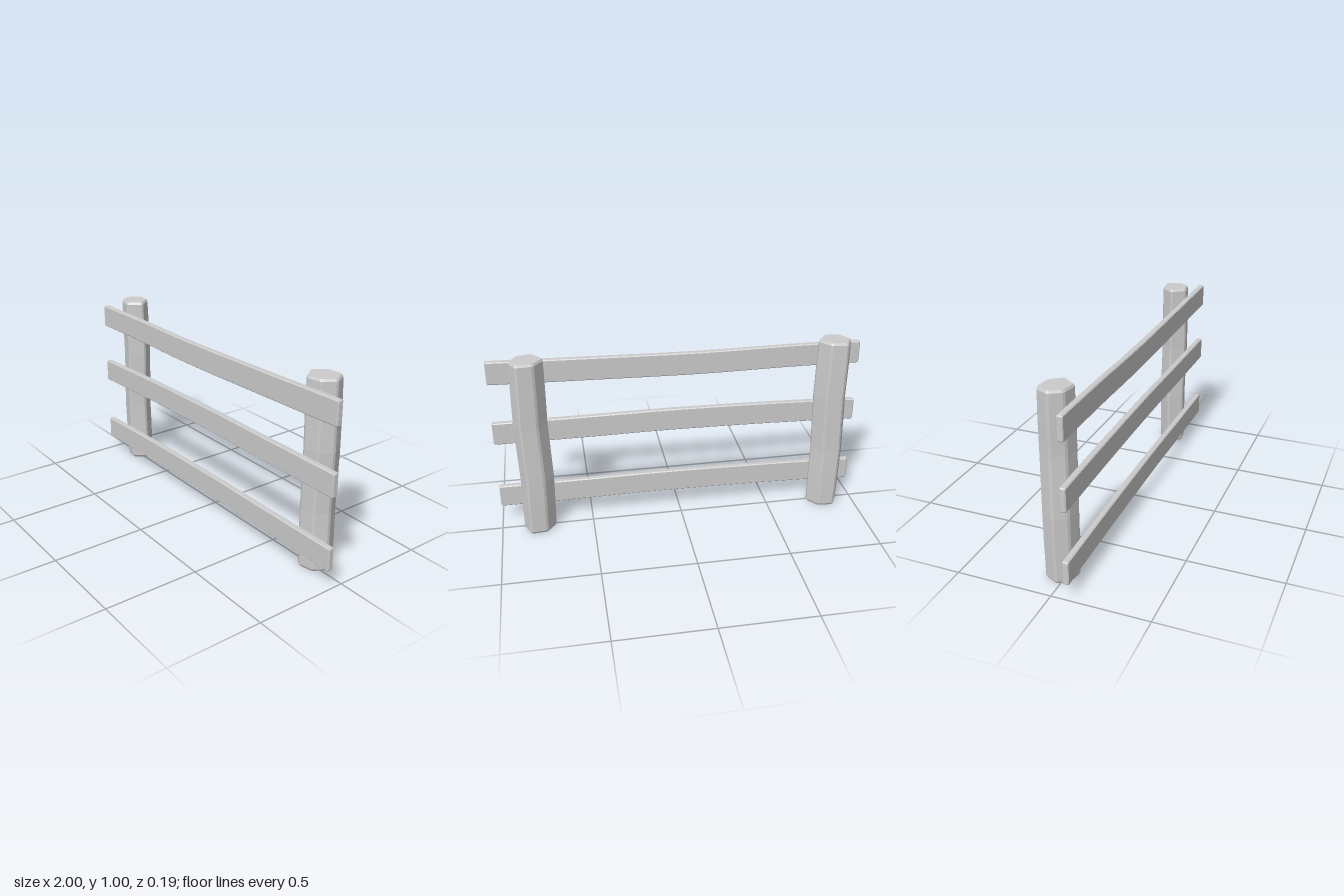
import * as THREE from 'three';

const material = new THREE.MeshStandardMaterial({ color: 0xcccccc, flatShading: true });

// Skin a list of rings (each counter-clockwise seen from the far end) and cap both ends.
function loft(rings) {
  const n = rings[0].length;
  const index = [];
  for (let i = 0; i < rings.length - 1; i++) {
    for (let j = 0; j < n; j++) {
      const a = i * n + j, b = i * n + (j + 1) % n;
      index.push(a, b, b + n, a, b + n, a + n);
    }
  }
  const last = (rings.length - 1) * n;
  for (let k = 1; k < n - 1; k++) {
    index.push(0, k + 1, k);
    index.push(last, last + k, last + k + 1);
  }
  const geometry = new THREE.BufferGeometry().setFromPoints(rings.flat());
  geometry.setIndex(index);
  const flat = geometry.toNonIndexed();
  flat.computeVertexNormals();
  return flat;
}

// Cut every corner of a closed 2D outline.
function chamfer(points, size) {
  return points.flatMap((p, i) => {
    const prev = points[(i + points.length - 1) % points.length];
    const next = points[(i + 1) % points.length];
    const towards = (q) => p.clone().add(q.clone().sub(p).setLength(size));
    return [towards(prev), towards(next)];
  });
}

// Irregular six-sided post, gently bent, with bevelled ends
function postGeometry() {
  const corners = [[-0.73, -0.015], [-0.785, -0.086], [-0.877, -0.094],
    [-0.915, -0.02], [-0.872, 0.046], [-0.788, 0.062]];
  const outline = chamfer(corners.map(([x, z]) => new THREE.Vector2(x, z)), 0.008);
  const cx = -0.825, cz = -0.017;
  // height, scale, bend in x, bend in z
  const levels = [
    [0, 0.88, 0.002, 0], [0.012, 0.97, 0.002, 0], [0.2, 1, -0.001, 0.001],
    [0.36, 1, -0.004, 0.002], [0.52, 1, 0.001, 0], [0.68, 1, 0.006, -0.002],
    [0.84, 1, 0.003, -0.001], [0.988, 0.97, 0.001, 0], [1, 0.88, 0.001, 0],
  ];
  return loft(levels.map(([y, s, dx, dz]) => outline.map((p) =>
    new THREE.Vector3(cx + (p.x - cx) * s + dx, y, cz + (p.y - cz) * s + dz))));
}

// Plank along x whose centre height follows a smooth curve
function railGeometry(heights) {
  const curve = new THREE.SplineCurve(heights.map(([x, y]) => new THREE.Vector2(x, y)));
  const halfH = 0.0625, halfD = 0.0165, zMid = 0.0795, bevel = 0.005;
  const section = (x, y, inset) => {
    const h = halfH - inset, d = halfD - inset;
    const box = [[-h, -d], [h, -d], [h, d], [-h, d]].map(([a, b]) => new THREE.Vector2(a, b));
    return chamfer(box, bevel).map((p) => new THREE.Vector3(x, y + p.x, zMid + p.y));
  };
  const body = curve.getPoints(16);
  const first = body[0], end = body[body.length - 1];
  body[0] = new THREE.Vector2(first.x + bevel, first.y);
  body[body.length - 1] = new THREE.Vector2(end.x - bevel, end.y);
  return loft([
    section(first.x, first.y, bevel),
    ...body.map((p) => section(p.x, p.y, 0)),
    section(end.x, end.y, bevel),
  ]);
}

export function createModel() {
  const fence = new THREE.Group();
  fence.name = 'fence';
  const add = (name, geometry) => {
    const mesh = new THREE.Mesh(geometry, material);
    mesh.name = name;
    fence.add(mesh);
    return mesh;
  };

  // Posts: the left one is the same log turned upside down
  const post = postGeometry();
  add('rightPost', post);
  const leftPost = add('leftPost', post);
  leftPost.rotation.z = Math.PI;
  leftPost.position.set(-0.03, 1, 0);

  // Rails: centre heights along x
  const rails = {
    bottomRail: [[-1, 0.146], [-0.5, 0.16], [0.1, 0.168], [0.5, 0.165], [1, 0.164]],
    middleRail: [[-1, 0.532], [-0.5, 0.547], [0.05, 0.555], [0.5, 0.552], [1, 0.551]],
    topRail: [[-1, 0.88], [-0.6, 0.882], [-0.1, 0.878], [0.5, 0.889], [1, 0.9]],
  };
  for (const [name, heights] of Object.entries(rails)) add(name, railGeometry(heights));

  return fence;
}
